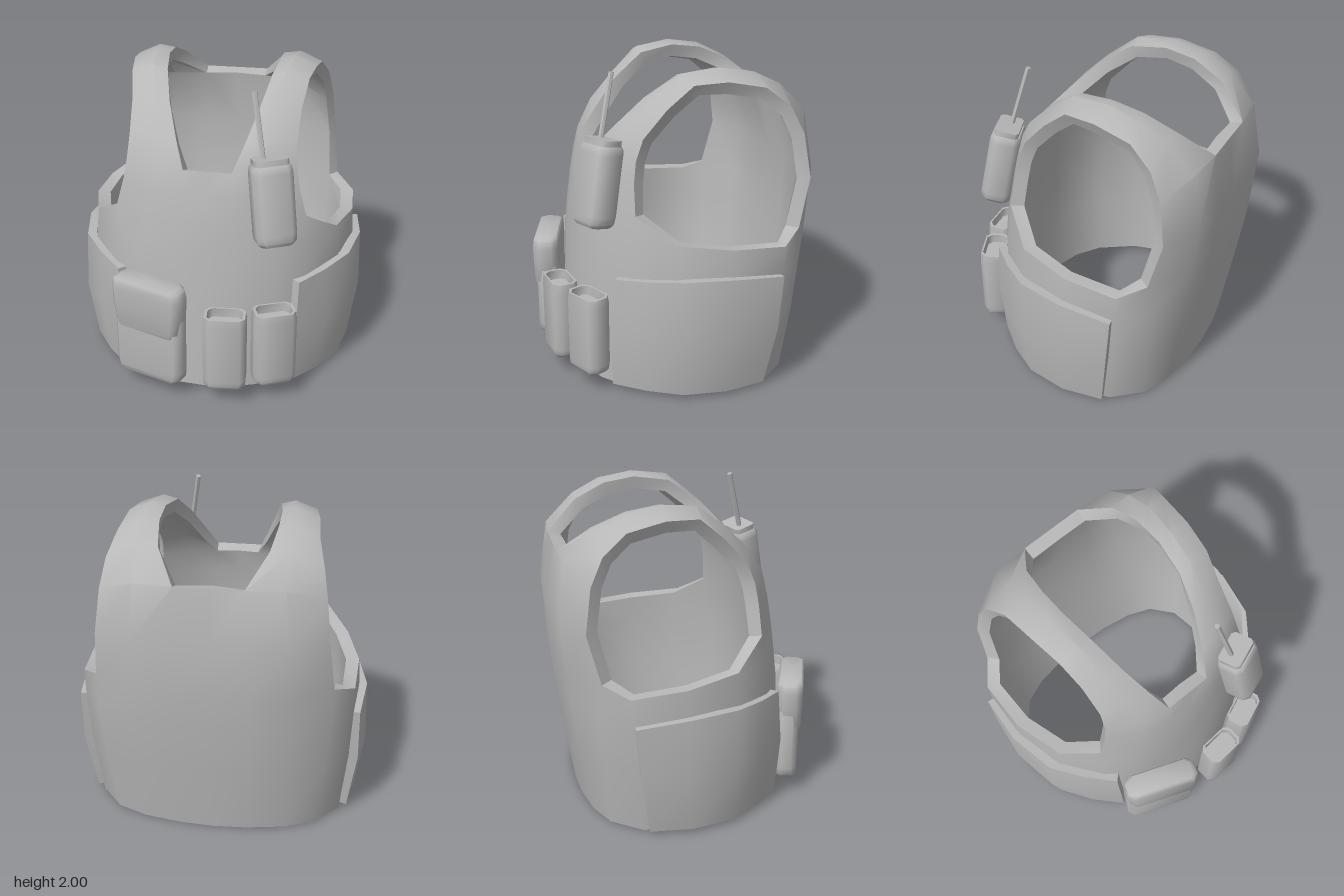
import * as THREE from 'three';
import { toCreasedNormals } from 'three/addons/utils/BufferGeometryUtils.js';

const grey = new THREE.MeshStandardMaterial({ color: 0xb8b8b8 });
grey.name = 'grey';

// Welds grids of points (rows of [x, y, z]) into one surface; a thickness turns it into a closed shell.
function surface(patches, { thickness = 0, mirror = false, crease = 0.7 } = {}) {
  const verts = [], ids = new Map(), tris = [];
  const id = (p) => {
    const key = p.map((v) => Math.round(v * 1e4)).join();
    if (!ids.has(key)) {
      ids.set(key, verts.length);
      verts.push(new THREE.Vector3(...p));
    }
    return ids.get(key);
  };
  const addTri = (a, b, c) => {
    if (a !== b && b !== c && a !== c) tris.push([a, b, c]);
  };
  for (const sx of mirror ? [1, -1] : [1]) {
    for (const rows of patches) {
      const grid = rows.map((row) => row.map(([x, y, z]) => id([x === 0 ? 0 : x * sx, y, z])));
      for (let r = 0; r + 1 < grid.length; r++) {
        for (let c = 0; c + 1 < grid[r].length; c++) {
          const q = [grid[r][c], grid[r][c + 1], grid[r + 1][c + 1], grid[r + 1][c]];
          if (sx < 0) q.reverse();
          addTri(q[0], q[1], q[2]);
          addTri(q[0], q[2], q[3]);
        }
      }
    }
  }
  if (thickness) {
    const n = verts.length;
    const normals = verts.map(() => new THREE.Vector3());
    for (const [a, b, c] of tris) {
      const e = verts[b].clone().sub(verts[a]).cross(verts[c].clone().sub(verts[a]));
      for (const i of [a, b, c]) normals[i].add(e);
    }
    for (let i = 0; i < n; i++) verts.push(verts[i].clone().addScaledVector(normals[i].normalize(), -thickness));
    const outer = tris.slice();
    const edges = new Set(outer.flatMap(([a, b, c]) => [`${a},${b}`, `${b},${c}`, `${c},${a}`]));
    for (const [a, b, c] of outer) {
      tris.push([a + n, c + n, b + n]);
      // rim along every open edge
      for (const [i, j] of [[a, b], [b, c], [c, a]]) {
        if (!edges.has(`${j},${i}`)) tris.push([j, i, i + n], [j, i + n, j + n]);
      }
    }
  }
  const geo = new THREE.BufferGeometry();
  geo.setAttribute('position', new THREE.Float32BufferAttribute(verts.flatMap((v) => v.toArray()), 3));
  geo.setIndex(tris.flat());
  return toCreasedNormals(geo, crease);
}

// Box with chamfered corners, lofted through [scale, y] rings; scale 0 closes an end.
function chamferLoft(w, d, c, rings) {
  const x = w / 2, z = d / 2;
  const outline = [[c - x, z], [x - c, z], [x, z - c], [x, c - z], [x - c, -z], [c - x, -z], [-x, c - z], [-x, z - c]];
  outline.push(outline[0]);
  return surface([rings.map(([s, y]) => outline.map((p) => [p[0] * s, y, p[1] * s]))], { crease: 0.9 });
}

export function createModel() {
  const model = new THREE.Group();
  model.name = 'tacticalVest';
  const add = (name, geo, parent = model) => {
    const mesh = new THREE.Mesh(geo, grey);
    mesh.name = name;
    parent.add(mesh);
    return mesh;
  };

  // Half of the torso, each ring running from front centre round to back centre
  const ring = (y, pts) => pts.map(([x, z], i) => [x, y - (y < 0.1 ? 0.003 * i : 0), z]);
  const bottom = ring(0.03, [[0, 0.68], [0.18, 0.66], [0.42, 0.58], [0.6, 0.45], [0.76, 0.2], [0.84, -0.1],
    [0.79, -0.4], [0.64, -0.58], [0.45, -0.66], [0.22, -0.7], [0, -0.71]]);
  const waist = ring(0.45, [[0, 0.66], [0.18, 0.64], [0.43, 0.57], [0.61, 0.45], [0.8, 0.2], [0.875, -0.13],
    [0.84, -0.45], [0.7, -0.62], [0.48, -0.73], [0.24, -0.77], [0, -0.775]]);
  const ribs = ring(0.8, [[0, 0.63], [0.18, 0.62], [0.43, 0.56], [0.61, 0.44], [0.8, 0.2], [0.88, -0.13],
    [0.86, -0.47], [0.73, -0.64], [0.5, -0.78], [0.25, -0.815], [0, -0.82]]);
  const chest = [[0, 1, 0.61], [0.18, 1, 0.6], [0.42, 1, 0.54], [0.6, 1, 0.42], [0.78, 1.02, 0.2], [0.87, 0.98, -0.13],
    [0.86, 0.95, -0.48], [0.74, 1.01, -0.63], [0.5, 1, -0.8], [0.25, 1, -0.83], [0, 1, -0.835]];

  // Front panel above the chest, narrowing at the armhole
  const front1 = [[0, 1.17, 0.595], [0.17, 1.17, 0.58], [0.38, 1.17, 0.53], [0.6, 1.17, 0.4]];
  const front2 = [[0, 1.34, 0.56], [0.16, 1.34, 0.555], [0.35, 1.34, 0.51], [0.55, 1.36, 0.39]];
  // Shoulder strap stations: neck edge, middle, armhole edge
  const strap = [
    [[0.15, 1.49, 0.52], [0.33, 1.49, 0.48], [0.53, 1.49, 0.37]],
    [[0.21, 1.63, 0.4], [0.36, 1.66, 0.38], [0.52, 1.62, 0.32]],
    [[0.28, 1.81, 0.23], [0.39, 1.82, 0.22], [0.53, 1.79, 0.17]],
    [[0.33, 1.95, 0.03], [0.42, 1.975, 0.03], [0.56, 1.93, 0.01]],
    [[0.36, 1.98, -0.2], [0.45, 2, -0.2], [0.59, 1.94, -0.2]],
    [[0.36, 1.95, -0.4], [0.47, 1.96, -0.42], [0.61, 1.89, -0.44]],
    [[0.33, 1.86, -0.6], [0.46, 1.87, -0.6], [0.65, 1.77, -0.59]],
    [[0.21, 1.69, -0.8], [0.45, 1.69, -0.78], [0.68, 1.6, -0.67]],
  ];
  const back1 = [[0, 1.32, -0.85], [0.24, 1.32, -0.848], [0.48, 1.32, -0.835], [0.71, 1.32, -0.71]];
  add('vestBody', surface([
    [bottom, waist, ribs, chest],
    [chest.slice(0, 5), [...front1, front1[3]]],
    [front1, front2, [[0, 1.49, 0.52], ...strap[0]]],
    strap,
    [[[0, 1.69, -0.8], ...strap[7]], back1, chest.slice(7).reverse()],
  ], { thickness: 0.085, mirror: true }));

  // Side panels
  add('sidePanels', surface([[
    [[0.54, 0.03, 0.54], [0.7, 0.03, 0.37], [0.83, 0.03, 0.17], [0.88, 0.03, -0.1], [0.84, 0.025, -0.37]],
    [[0.57, 0.42, 0.56], [0.75, 0.42, 0.38], [0.89, 0.42, 0.18], [0.94, 0.42, -0.13], [0.9, 0.42, -0.43]],
    [[0.58, 0.77, 0.53], [0.73, 0.79, 0.37], [0.87, 0.815, 0.18], [0.93, 0.81, -0.13], [0.9, 0.77, -0.46]],
  ]], { thickness: 0.06, mirror: true }));

  // Two open magazine pouches
  for (const [name, x, z, yaw] of [['innerMagazinePouch', 0.145, 0.76, 0.07], ['outerMagazinePouch', 0.44, 0.66, 0.38]]) {
    const pouch = add(name, chamferLoft(0.27, 0.165, 0.035,
      [[0, 0], [0.8, 0], [0.97, 0.025], [1, 0.06], [1, 0.47], [0.95, 0.52], [0.82, 0.52], [0.8, 0.46], [0, 0.46]]));
    pouch.position.set(x, 0.12, z);
    pouch.rotation.y = yaw;
  }

  // Large pouch with a flap
  const utility = new THREE.Group();
  utility.name = 'utilityPouch';
  utility.position.set(-0.34, 0.11, 0.69);
  utility.rotation.y = -0.37;
  add('pouchBody', chamferLoft(0.48, 0.14, 0.035,
    [[0, 0], [0.85, 0], [0.97, 0.03], [1, 0.08], [1, 0.55], [0.9, 0.6], [0, 0.6]]), utility);
  add('pouchFlap', chamferLoft(0.5, 0.165, 0.04,
    [[0, 0.35], [0.86, 0.35], [0.91, 0.38], [0.98, 0.5], [1, 0.62], [0.96, 0.67], [0.84, 0.69], [0, 0.695]]), utility)
    .position.z = 0.01;
  model.add(utility);

  // Radio leaning against the chest
  const radio = new THREE.Group();
  radio.name = 'radio';
  radio.position.set(0.405, 1.33, 0.57);
  radio.rotation.set(-0.2, 0.35, 0.04, 'YXZ');
  add('radioBody', chamferLoft(0.25, 0.19, 0.035,
    [[0, -0.25], [0.8, -0.25], [0.96, -0.225], [1, -0.18], [1, 0.2], [0.97, 0.23], [0.88, 0.25], [0, 0.25]]), radio);
  add('radioCap', chamferLoft(0.21, 0.15, 0.02, [[0, 0.23], [1, 0.23], [1, 0.285], [0, 0.285]]), radio);
  model.add(radio);

  // Antenna
  const from = new THREE.Vector3(0.34, 1.58, 0.53), to = new THREE.Vector3(0.268, 1.985, 0.43);
  const dir = to.clone().sub(from);
  const antenna = add('antenna', toCreasedNormals(new THREE.CylinderGeometry(0.017, 0.017, dir.length(), 6), 0.7));
  antenna.position.copy(from).add(to).multiplyScalar(0.5);
  antenna.quaternion.setFromUnitVectors(new THREE.Vector3(0, 1, 0), dir.normalize());

  return model;
}
